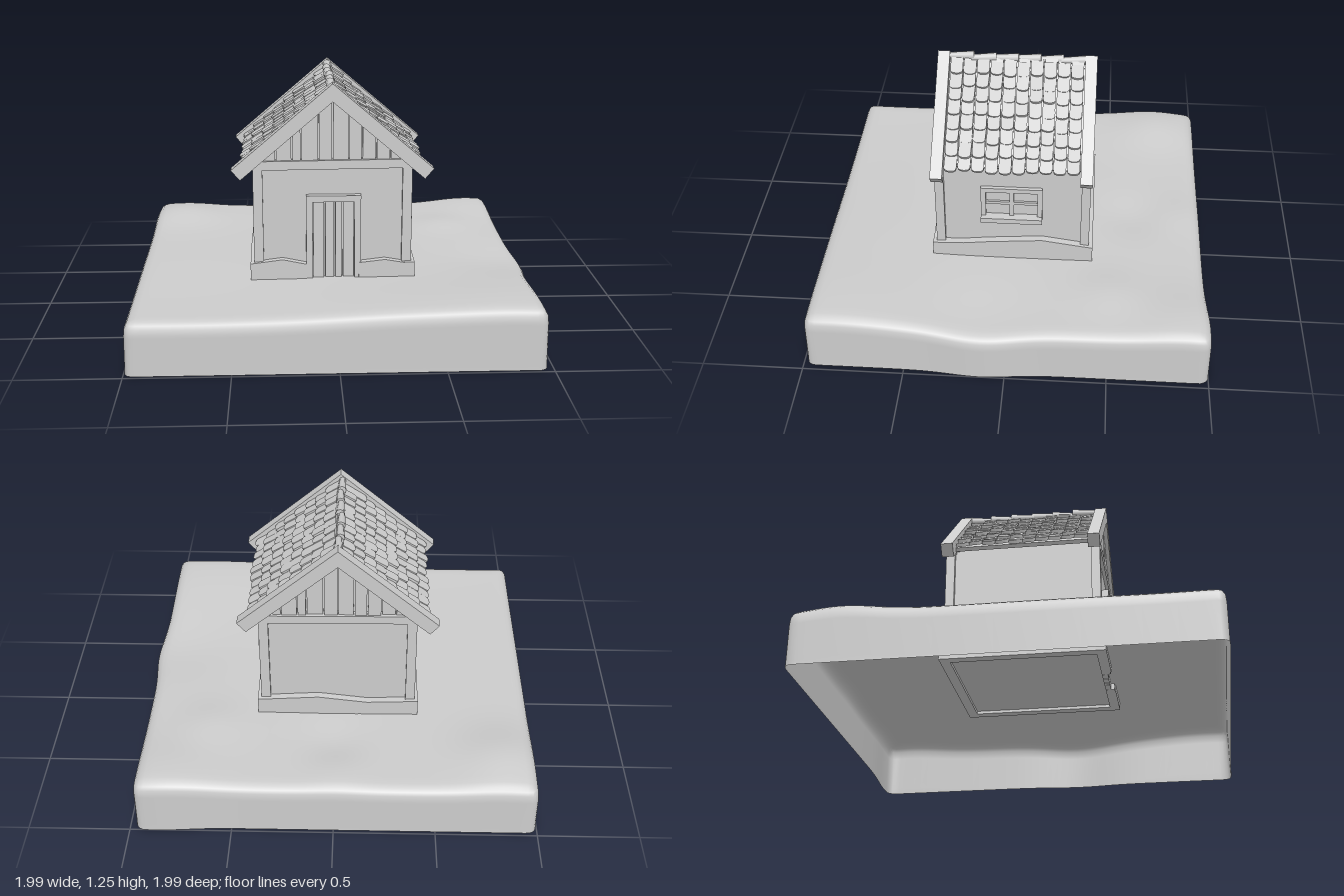
import * as THREE from 'three';

const clay = new THREE.MeshStandardMaterial({ color: 0xcccccc, side: THREE.DoubleSide });
clay.name = 'light grey';

const CX = -0.01;          // house centre in x
const APEX = 1.25;         // roof peak
const PITCH = Math.atan2(0.427, 0.5);
const SLOPE = Math.tan(PITCH);

let seed = 7;
const rand = () => (seed = (seed * 16807) % 2147483647) / 2147483647;
const jitter = (a) => (rand() - 0.5) * 2 * a;

function add(parent, geometry, name, x = 0, y = 0, z = 0) {
  const m = new THREE.Mesh(geometry, clay);
  m.name = name;
  m.position.set(x, y, z);
  parent.add(m);
  return m;
}

// Box given by its lower and upper limits
function span(parent, name, x0, x1, y0, y1, z0, z1) {
  return add(parent, new THREE.BoxGeometry(x1 - x0, y1 - y0, z1 - z0), name,
    (x0 + x1) / 2, (y0 + y1) / 2, (z0 + z1) / 2);
}

function extrude(points, depth) {
  const shape = new THREE.Shape(points.map(([x, y]) => new THREE.Vector2(x, y)));
  return new THREE.ExtrudeGeometry(shape, { depth, bevelEnabled: false });
}

// Gentle mounds and dips: x, z, height, radius
const MOUNDS = [
  [-0.82, -0.74, 0.045, 0.22], [0.85, 0.85, 0.035, 0.4], [0.3, 0.9, 0.02, 0.4],
  [0.9, 0.12, -0.022, 0.25], [0.85, -0.88, 0.032, 0.25], [0.65, -0.5, 0.02, 0.16],
  [0.02, -0.62, -0.018, 0.16], [0.0, -0.85, 0.012, 0.15], [-0.7, 0.7, -0.008, 0.4],
];
const bump = (d, r) => Math.exp(-(d * d) / (r * r));
const groundHeight = (x, z) =>
  MOUNDS.reduce((h, [mx, mz, a, r]) => h + a * bump(Math.hypot(x - mx, z - mz), r), 0.264);

// Open-bottomed block of land with a soft rim
function buildGround(root) {
  const rim = [[0.95, 0.006], [0.968, 0.018], [0.978, 0.035], [0.981, 0.06], [0.982, 0.075], [0.983, 0.255], [0.984, 1]];
  const inner = 24, n = inner + rim.length, c = 0.94;
  const reach = (i) => (i <= inner ? (0.925 * i) / inner : rim[i - inner - 1][0]);
  const geo = new THREE.PlaneGeometry(2, 2, 2 * n, 2 * n).rotateX(-Math.PI / 2);
  const p = geo.attributes.position;
  for (let k = 0; k < p.count; k++) {
    const i = Math.round(p.getX(k) * n), j = Math.round(p.getZ(k) * n);
    const m = Math.max(Math.abs(i), Math.abs(j));
    let ax = reach(Math.abs(i)), az = reach(Math.abs(j));
    const dx = ax - c, dz = az - c;
    if (dx > 0 && dz > 0) {
      const s = Math.max(dx, dz) / Math.hypot(dx, dz);
      ax = c + dx * s;
      az = c + dz * s;
    }
    let x = Math.sign(i) * ax, z = Math.sign(j) * az;
    let y = groundHeight(x, z);
    if (m > inner) y = Math.max(0, y - rim[m - inner - 1][1]);
    // Bulges in the right and back sides
    if (x > 0.8) x += 0.026 * bump(z - 0.12, 0.2) * (x - 0.8) / 0.18;
    if (z < -0.8) z += 0.018 * bump(x - 0.88, 0.2) * (z + 0.8) / 0.18;
    p.setXYZ(k, x - 0.012, y, z);
  }
  geo.computeVertexNormals();
  add(root, geo, 'ground');
}

// Uneven plaster plinth, one strip for each stretch of wall
function buildPlinth(house) {
  const strip = (tops, turn) => {
    const pts = [[tops[0][0], 0.235], [tops[tops.length - 1][0], 0.235], ...[...tops].reverse()];
    const geo = extrude(pts, 0.05);
    geo.translate(0, 0, 0.36).rotateY(turn);
    add(house, geo, 'plinth');
  };
  strip([[-0.405, 0.345], [-0.25, 0.365], [-0.13, 0.34]], 0);
  strip([[0.13, 0.345], [0.26, 0.36], [0.405, 0.335]], 0);
  strip([[-0.41, 0.345], [-0.25, 0.35], [-0.12, 0.365], [0.15, 0.387], [0.41, 0.35]], Math.PI / 2);
  strip([[-0.405, 0.35], [-0.1, 0.37], [0.15, 0.34], [0.405, 0.35]], Math.PI);
  strip([[-0.41, 0.35], [-0.15, 0.345], [0.12, 0.37], [0.41, 0.345]], -Math.PI / 2);
}

function buildWalls(house) {
  span(house, 'walls', -0.372, 0.372, 0.25, 0.85, -0.372, 0.372);
  for (const sx of [-1, 1]) for (const sz of [-1, 1]) {
    const post = add(house, new THREE.BoxGeometry(0.048, 0.58, 0.045), 'cornerPost', sx * 0.369, 0.545, sz * 0.368);
    post.rotation.z = jitter(0.006);
  }
}

// Beam and vertical boards closing each gable end
function buildGable(house, side) {
  const end = new THREE.Group();
  end.name = 'gable';
  end.rotation.y = side > 0 ? 0 : Math.PI;
  house.add(end);
  const beam = add(end, new THREE.BoxGeometry(0.77, 0.045, 0.05), 'gableBeam', 0, 0.845, 0.365);
  beam.rotation.z = 0.01;
  const edges = [-0.39, -0.28, -0.2, -0.155, -0.07, 0.0, 0.08, 0.145, 0.215, 0.285, 0.39];
  const roofAt = (x) => 1.19 - Math.abs(x) * SLOPE;
  for (let i = 0; i < edges.length - 1; i++) {
    const a = edges[i] + 0.003, b = edges[i + 1] - 0.003;
    add(end, extrude([[a, 0.84], [b, 0.84], [b, roofAt(b)], [a, roofAt(a)]], 0.025), 'gableBoard', 0, 0, 0.35 + jitter(0.006));
  }
  add(end, extrude([[-0.38, 0.84], [0.38, 0.84], [0, 1.18]], 0.02), 'gableBacking', 0, 0, 0.325);

  // Bargeboards form one chevron
  const s = Math.sin(PITCH), c = Math.cos(PITCH), t = 0.068, ex = 0.5, ey = APEX - 0.427;
  const lower = [ex - t * s, ey - t * c];
  add(end, extrude([[0, APEX], [-ex, ey], [-lower[0], lower[1]], [0, APEX - t / c], lower, [ex, ey]], 0.06), 'bargeboard', 0, 0, 0.338);
}

function buildDoor(house) {
  span(house, 'doorJamb', -0.132, -0.1, 0.235, 0.69, 0.36, 0.405);
  span(house, 'doorJamb', 0.108, 0.14, 0.235, 0.69, 0.36, 0.405);
  span(house, 'doorLintel', -0.132, 0.14, 0.66, 0.692, 0.36, 0.407);
  const edges = [-0.1, -0.04, 0.01, 0.048, 0.108];
  for (let i = 0; i < 4; i++) {
    span(house, 'doorPlank', edges[i] + 0.003, edges[i + 1] - 0.003, 0.235, 0.659, 0.36, 0.387 + jitter(0.004));
  }
}

function buildWindow(house) {
  const x0 = 0.36, x1 = 0.392;
  span(house, 'windowHead', x0, x1, 0.67, 0.695, -0.15, 0.16);
  span(house, 'windowSill', x0, 0.42, 0.497, 0.525, -0.15, 0.16);
  span(house, 'windowJamb', x0, x1, 0.52, 0.672, -0.15, -0.125);
  span(house, 'windowJamb', x0, x1, 0.52, 0.672, 0.135, 0.16);
  span(house, 'mullion', x0, x1 - 0.005, 0.52, 0.672, -0.006, 0.016);
  span(house, 'glazingBar', x0, x1 - 0.008, 0.592, 0.608, -0.13, 0.14);
}

function buildRoof(house) {
  const rows = 8, cols = 10, pitch = 0.067, step = 0.071, len = 0.108, w = 0.031;
  // Tile outline with a rounded lower end
  const shape = new THREE.Shape();
  shape.moveTo(-len / 2, -w);
  shape.lineTo(len / 2 - 0.02, -w);
  shape.quadraticCurveTo(len / 2, -w, len / 2, 0);
  shape.quadraticCurveTo(len / 2, w, len / 2 - 0.02, w);
  shape.lineTo(-len / 2, w);
  const tileGeo = new THREE.ExtrudeGeometry(shape, { depth: 0.018, bevelEnabled: false, curveSegments: 4 });
  tileGeo.rotateX(Math.PI / 2);

  for (const side of [1, -1]) {
    const turn = new THREE.Group();
    turn.name = 'roofSlope';
    turn.rotation.y = side > 0 ? 0 : Math.PI;
    turn.position.y = APEX;
    const slope = new THREE.Group();
    slope.name = 'tiles';
    slope.rotation.z = -PITCH;
    turn.add(slope);
    house.add(turn);
    span(slope, 'roofDeck', 0.03, 0.58, -0.062, -0.042, -0.34, 0.34);
    for (let r = 0; r < rows; r++) for (let k = 0; k < cols; k++) {
      const tile = add(slope, tileGeo, 'roofTile',
        0.06 + r * step + jitter(0.007), -0.018 + jitter(0.005), (k - (cols - 1) / 2) * pitch);
      tile.rotation.set(jitter(0.06), jitter(0.04), 0.15 + jitter(0.03));
    }
  }

  // Slightly crooked ridge caps
  for (let i = 0; i < 6; i++) {
    const cap = add(house, new THREE.CylinderGeometry(0.016, 0.023, 0.125, 8), 'ridgeCap',
      -0.006 + jitter(0.006), 1.218 + jitter(0.004), -0.28 + i * 0.112);
    cap.rotation.set(Math.PI / 2 + 0.05, 0, jitter(0.04));
  }
}

export function createModel() {
  const root = new THREE.Group();
  root.name = 'cottageOnLand';
  buildGround(root);
  const house = new THREE.Group();
  house.name = 'house';
  house.position.x = CX;
  root.add(house);
  buildPlinth(house);
  buildWalls(house);
  buildGable(house, 1);
  buildGable(house, -1);
  buildDoor(house);
  buildWindow(house);
  buildRoof(house);
  return root;
}
